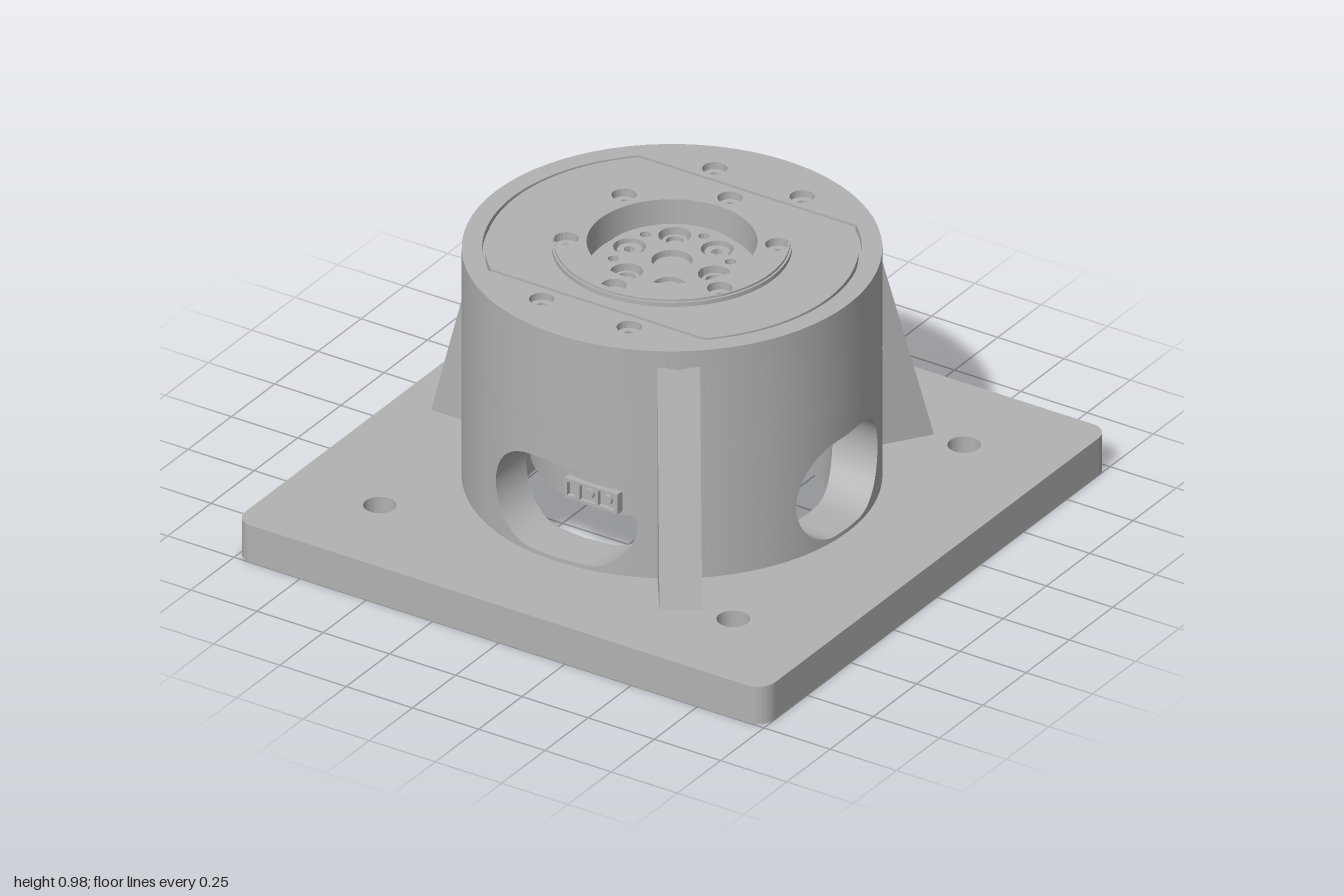
import * as THREE from 'three';
import { toCreasedNormals } from 'three/addons/utils/BufferGeometryUtils.js';

const metal = new THREE.MeshStandardMaterial({ color: 0xb2b2b2 });
metal.name = 'plain grey';

const R = 0.665, BORE = 0.51, PLATE = 0.135, SHOULDER = 0.6, TOP = 0.96;

function add(group, name, geometry, x = 0, y = 0, z = 0) {
  const mesh = new THREE.Mesh(geometry, metal);
  mesh.name = name;
  mesh.position.set(x, y, z);
  group.add(mesh);
  return mesh;
}

const circle = (r, x = 0, y = 0) => new THREE.Shape().absarc(x, y, r, 0, Math.PI * 2, false);

// circle with two parallel flats
function flattedCircle(r, flat) {
  const a = Math.asin(flat / r);
  const s = new THREE.Shape();
  s.absarc(0, 0, r, -a, a, false);
  s.absarc(0, 0, r, Math.PI - a, Math.PI + a, false);
  s.closePath();
  return s;
}

// horizontal slab between two heights, with holes
function slab(shape, holes, y0, y1) {
  shape.holes.push(...holes);
  const g = new THREE.ExtrudeGeometry(shape, { depth: y1 - y0, bevelEnabled: false, curveSegments: 36 });
  g.rotateX(-Math.PI / 2).translate(0, y0, 0);
  return toCreasedNormals(g, 0.5);
}

const ringPoints = (n, r, start = 0) => Array.from({ length: n }, (_, i) => {
  const a = start + (i * Math.PI * 2) / n;
  return [r * Math.cos(a), r * Math.sin(a)];
});

// socket-head screw: a ring over a hexagonal recess
function screw(group, x, z, y, r, h) {
  const hex = new THREE.Shape(ringPoints(6, r * 0.5).map(p => new THREE.Vector2(...p)));
  add(group, 'screwHead', slab(circle(r), [hex], 0, h), x, y, z);
}

// lower wall of the housing with rounded windows cut straight through
function windowedWall() {
  const r = 0.17, mid = 0.32, cols = [];
  for (const [c, h] of [[0, 0.235], [Math.PI / 2, 0.267], [Math.PI * 1.5, 0.267]]) {
    const half = [];
    for (let k = 0; k <= 12; k++) {
      const a = (Math.PI / 2) * k / 12;
      half.push([h - r + r * Math.cos(a), r * Math.sin(a)]);
    }
    const list = [...half.map(([s, d]) => [-s, d]), [0, r], ...half.reverse()];
    const edge = list.map(([s, d]) => ({
      o: c + Math.asin(s / R), i: c + Math.asin(s / BORE), lo: mid - d, hi: mid + d }));
    if (cols.length) bridge(cols, edge[0]);
    cols.push(...edge);
  }
  bridge(cols, { ...cols[0], o: cols[0].o + Math.PI * 2, i: cols[0].i + Math.PI * 2 });
  cols.push({ ...cols[0], o: cols[0].o + Math.PI * 2, i: cols[0].i + Math.PI * 2 });

  // plain columns between two windows
  function bridge(out, b) {
    const a = out[out.length - 1], n = Math.ceil((b.o - a.o) / 0.06);
    for (let k = 1; k < n; k++) {
      const t = k / n;
      out.push({ o: a.o + (b.o - a.o) * t, i: a.i + (b.i - a.i) * t, lo: mid, hi: mid });
    }
  }

  const pos = [];
  const P = (rad, t, y) => [rad * Math.cos(t), y, -rad * Math.sin(t)];
  const quad = (a, b, c, d) => pos.push(...a, ...b, ...c, ...a, ...c, ...d);
  for (let k = 0; k < cols.length - 1; k++) {
    const a = cols[k], b = cols[k + 1];
    for (const [a0, a1, b0, b1] of [[PLATE, a.lo, PLATE, b.lo], [a.hi, SHOULDER, b.hi, SHOULDER]]) {
      quad(P(R, a.o, a0), P(R, b.o, b0), P(R, b.o, b1), P(R, a.o, a1));
      quad(P(BORE, b.i, b0), P(BORE, a.i, a0), P(BORE, a.i, a1), P(BORE, b.i, b1));
    }
    if (a.hi > a.lo + 1e-6 || b.hi > b.lo + 1e-6) {
      quad(P(R, a.o, a.lo), P(R, b.o, b.lo), P(BORE, b.i, b.lo), P(BORE, a.i, a.lo));
      quad(P(BORE, a.i, a.hi), P(BORE, b.i, b.hi), P(R, b.o, b.hi), P(R, a.o, a.hi));
    }
  }
  const g = new THREE.BufferGeometry();
  g.setAttribute('position', new THREE.Float32BufferAttribute(pos, 3));
  return toCreasedNormals(g, 0.5);
}

// small socket on the motor side, facing +z before turning
function connector(name, w, h, holes, turn) {
  const g = new THREE.Group();
  g.name = name;
  const frame = new THREE.Shape([[-w, -h], [w, -h], [w, h], [-w, h]].map(p => new THREE.Vector2(...p)));
  frame.holes.push(...holes.map(([x, y, a, b]) =>
    new THREE.Shape([[-a, -b], [a, -b], [a, b], [-a, b]].map(p => new THREE.Vector2(x + p[0], y + p[1])))));
  add(g, 'socketFrame', new THREE.ExtrudeGeometry(frame, { depth: 0.04, bevelEnabled: false }), 0, 0.28, 0.428);
  add(g, 'socketBack', new THREE.BoxGeometry(w * 2 - 0.004, h * 2 - 0.004, 0.05), 0, 0.28, 0.428);
  g.rotation.y = turn;
  return g;
}

export function createModel() {
  const model = new THREE.Group();
  model.name = 'motorMount';

  // base plate with rounded corners, bolt holes and a central bore
  const q = 0.935, plate = new THREE.Shape();
  [[q, q], [-q, q], [-q, -q], [q, -q]].forEach(([x, y], i) =>
    plate.absarc(x, y, 0.065, i * Math.PI / 2, (i + 1) * Math.PI / 2, false));
  plate.closePath();
  const bolts = [];
  for (const x of [-0.667, 0.667]) for (const y of [-0.667, 0.667]) bolts.push(circle(0.053, x, y));
  add(model, 'basePlate', slab(plate, [circle(BORE), ...bolts], 0, PLATE));

  // housing
  add(model, 'housingWall', windowedWall());
  const capScrews = [];
  for (const x of [-0.165, 0.165]) for (const y of [-0.5, 0.5]) capScrews.push([x, y]);
  add(model, 'housingTop', slab(circle(R),
    [flattedCircle(0.6, 0.44), ...capScrews.map(p => circle(0.04, ...p))], SHOULDER, TOP));
  for (const [x, z] of capScrews) screw(model, x, z, 0.9, 0.04, 0.035);

  // tapered ribs
  const rib = new THREE.Shape([[0.62, PLATE], [0.865, PLATE], [0.663, 0.9], [0.62, 0.9]]
    .map(p => new THREE.Vector2(...p)));
  for (const deg of [180, 55, -55]) {
    const g = new THREE.ExtrudeGeometry(rib, { depth: 0.135, bevelEnabled: false }).translate(0, 0, -0.0675);
    add(model, 'rib', g).rotation.y = THREE.MathUtils.degToRad(deg);
  }

  // motor body and its stepped flange
  add(model, 'motorBody', new THREE.CylinderGeometry(0.45, 0.45, 0.65, 72), 0, 0.555, 0);
  const ringScrews = ringPoints(6, 0.335, Math.PI / 6);
  const ringHoles = () => ringScrews.map(p => circle(0.04, ...p));
  add(model, 'motorFlange', slab(flattedCircle(0.6, 0.44), [circle(0.27)], SHOULDER, 0.935));
  add(model, 'motorFace', slab(flattedCircle(0.59, 0.428), [circle(0.27), ...ringHoles()], 0.935, TOP));
  add(model, 'outputRing', slab(circle(0.38), [circle(0.27), ...ringHoles()], TOP, 0.975));
  add(model, 'outputRingLip', slab(circle(0.373), [circle(0.27), ...ringHoles()], 0.975, 0.983));
  for (const [x, z] of ringScrews) screw(model, x, z, 0.935, 0.04, 0.02);

  // recessed hub with pockets, bosses and screws
  const pockets = ringPoints(6, 0.16);
  add(model, 'hub', slab(circle(0.232), [circle(0.065),
    ...pockets.map(p => circle(0.052, ...p)),
    ...ringPoints(6, 0.185, Math.PI / 6).map(p => circle(0.018, ...p))], 0.88, 0.915));
  add(model, 'hubCentre', new THREE.CylinderGeometry(0.06, 0.06, 0.015, 32), 0, 0.8875, 0);
  pockets.forEach(([x, z], i) => {
    if (i % 2) screw(model, x, z, 0.88, 0.04, 0.025);
    else add(model, 'hubBoss', slab(circle(0.04), [circle(0.028)], 0, 0.015), x, 0.88, z);
  });

  // screws under the motor
  for (const [x, z] of ringPoints(6, 0.38, Math.PI / 6))
    add(model, 'undersideScrew', new THREE.CylinderGeometry(0.02, 0.02, 0.012, 16), x, 0.227, z);

  // sockets on the motor side
  const front = connector('frontConnector', 0.1, 0.036,
    [[-0.076, 0, 0.014, 0.024], [-0.013, 0, 0.03, 0.027], [0.056, 0, 0.03, 0.027]], 0);
  for (const x of [-0.013, 0.056])
    add(front, 'pin', new THREE.CylinderGeometry(0.018, 0.018, 0.02, 20).rotateX(Math.PI / 2), x, 0.28, 0.455);
  const side = connector('sideConnector', 0.055, 0.034, [[0, 0, 0.04, 0.022]], Math.PI / 2);
  add(side, 'socketKey', new THREE.BoxGeometry(0.04, 0.016, 0.015), 0, 0.275, 0.457);
  model.add(front, side);

  return model;
}
